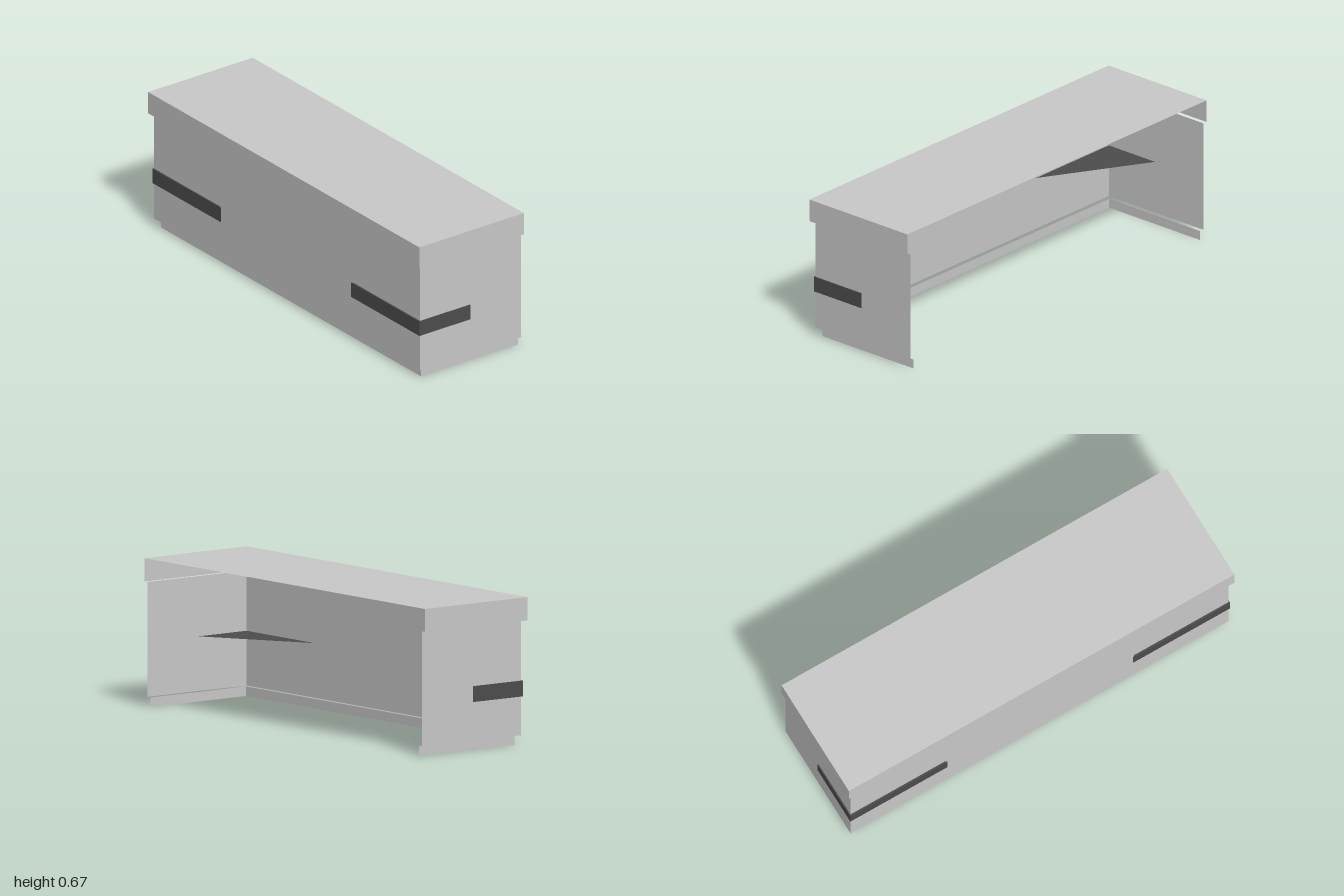
import * as THREE from 'three';

const BACK = -0.291;

export function createModel() {
  const model = new THREE.Group();
  model.name = 'counter';
  const shell = new THREE.MeshStandardMaterial({ name: 'light grey', color: 0xc8c8c8, side: THREE.DoubleSide });
  const trim = new THREE.MeshStandardMaterial({ name: 'dark grey', color: 0x4c4c4c, side: THREE.DoubleSide });

  function add(parent, name, geometry, material, [x, y, z], ry = 0, rx = 0) {
    const mesh = new THREE.Mesh(geometry, material);
    mesh.name = name;
    mesh.position.set(x, y, z);
    mesh.rotation.set(rx, ry, 0);
    parent.add(mesh);
  }

  // Three thin walls, open at the back
  function addBand(name, halfWidth, front, y0, y1) {
    const band = new THREE.Group();
    band.name = name;
    const h = y1 - y0, y = (y0 + y1) / 2, depth = front - BACK;
    add(band, name + 'Front', new THREE.PlaneGeometry(halfWidth * 2, h), shell, [0, y, front]);
    for (const s of [1, -1]) {
      add(band, name + (s > 0 ? 'Left' : 'Right'), new THREE.PlaneGeometry(depth, h), shell,
        [s * halfWidth, y, (front + BACK) / 2], s * Math.PI / 2);
    }
    model.add(band);
  }
  addBand('base', 0.958, 0.252, 0.002, 0.045);
  addBand('body', 0.98, 0.274, 0.045, 0.562);
  addBand('topRim', 1, 0.293, 0.562, 0.667);
  add(model, 'top', new THREE.PlaneGeometry(2, 0.293 - BACK), shell,
    [0, 0.667, (0.293 + BACK) / 2], 0, -Math.PI / 2);

  // Dark corner guards: front strip, side strip and triangular gusset
  const X = 0.985, Z = 0.281, innerX = 0.48, rearZ = -0.005, low = 0.22, high = 0.291;
  for (const s of [1, -1]) {
    const guard = new THREE.Group();
    guard.name = s > 0 ? 'leftCornerGuard' : 'rightCornerGuard';
    const y = (low + high) / 2, h = high - low;
    add(guard, 'frontStrip', new THREE.PlaneGeometry(X - innerX, h), trim, [s * (X + innerX) / 2, y, Z]);
    add(guard, 'sideStrip', new THREE.PlaneGeometry(Z - rearZ, h), trim,
      [s * X, y, (Z + rearZ) / 2], s * Math.PI / 2);
    const triangle = new THREE.Shape([
      new THREE.Vector2(s * X, -Z),
      new THREE.Vector2(s * X, -rearZ),
      new THREE.Vector2(s * innerX, -Z),
    ]);
    add(guard, 'gusset', new THREE.ShapeGeometry(triangle), trim, [0, high, 0], 0, -Math.PI / 2);
    model.add(guard);
  }

  model.position.y = -0.002;
  const root = new THREE.Group();
  root.add(model);
  return root;
}
